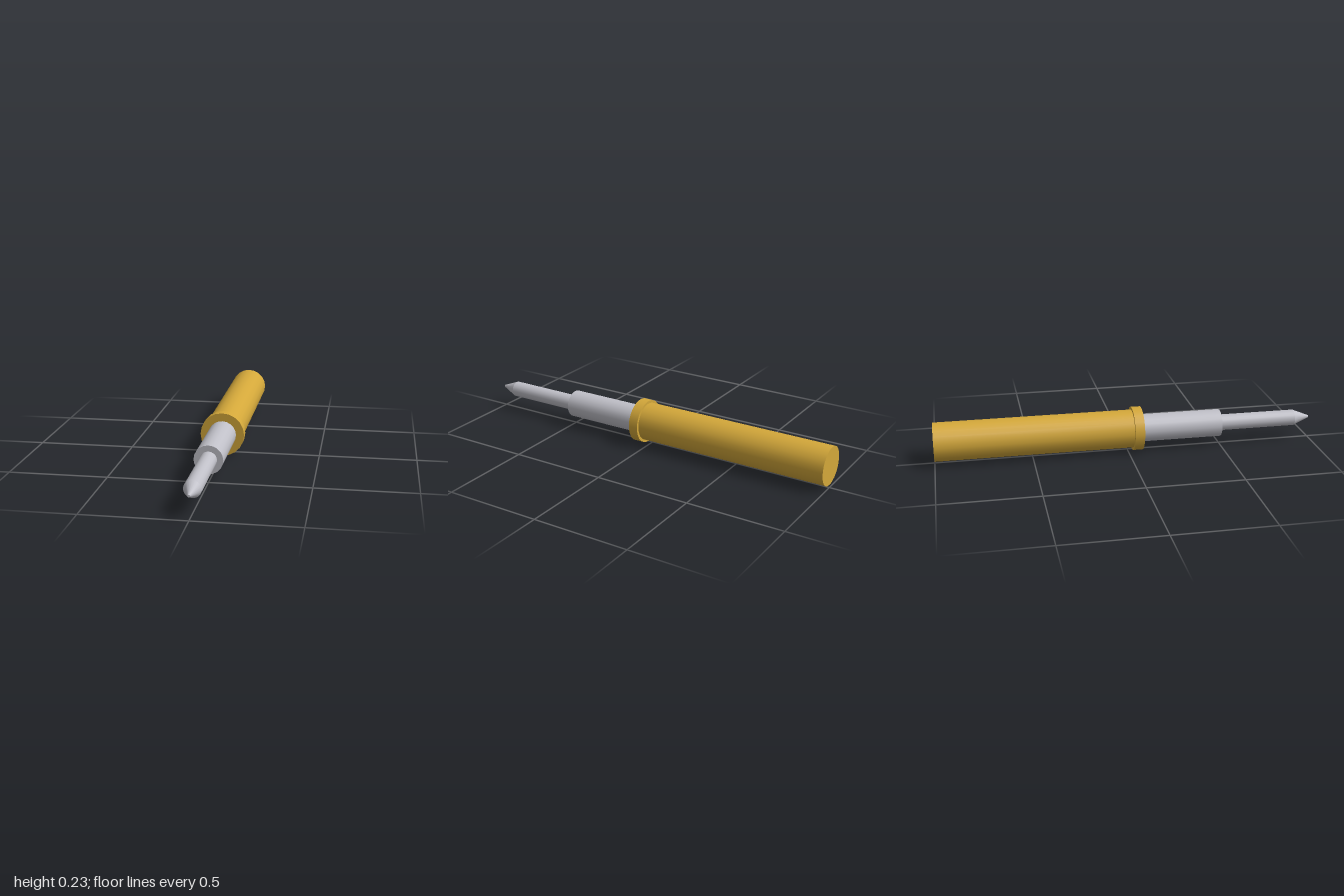
import * as THREE from 'three';

const SIDES = 20;
const AXIS_Y = 0.114;

export function createModel() {
  const gold = new THREE.MeshStandardMaterial({ color: 0xd4a83a });
  gold.name = 'gold';
  const steel = new THREE.MeshStandardMaterial({ color: 0xc0c0c8 });
  steel.name = 'steel';

  const model = new THREE.Group();
  model.name = 'springProbe';

  // Round section along z, from the back end to the front end
  function section(name, material, zBack, zFront, rBack, rFront = rBack) {
    const geometry = new THREE.CylinderGeometry(rFront, rBack, zFront - zBack, SIDES);
    geometry.rotateX(Math.PI / 2);
    const mesh = new THREE.Mesh(geometry, material);
    mesh.name = name;
    mesh.position.set(0, AXIS_Y, (zBack + zFront) / 2);
    model.add(mesh);
  }

  // Gold housing with its stop ring
  section('barrel', gold, -1, 0.05, 0.1);
  section('collar', gold, 0.025, 0.075, 0.114);

  // Steel plunger with a blunt conical tip
  section('sleeve', steel, 0.05, 0.5, 0.072);
  section('pin', steel, 0.48, 0.912, 0.042);
  section('tip', steel, 0.912, 1, 0.042, 0.006);

  return model;
}
